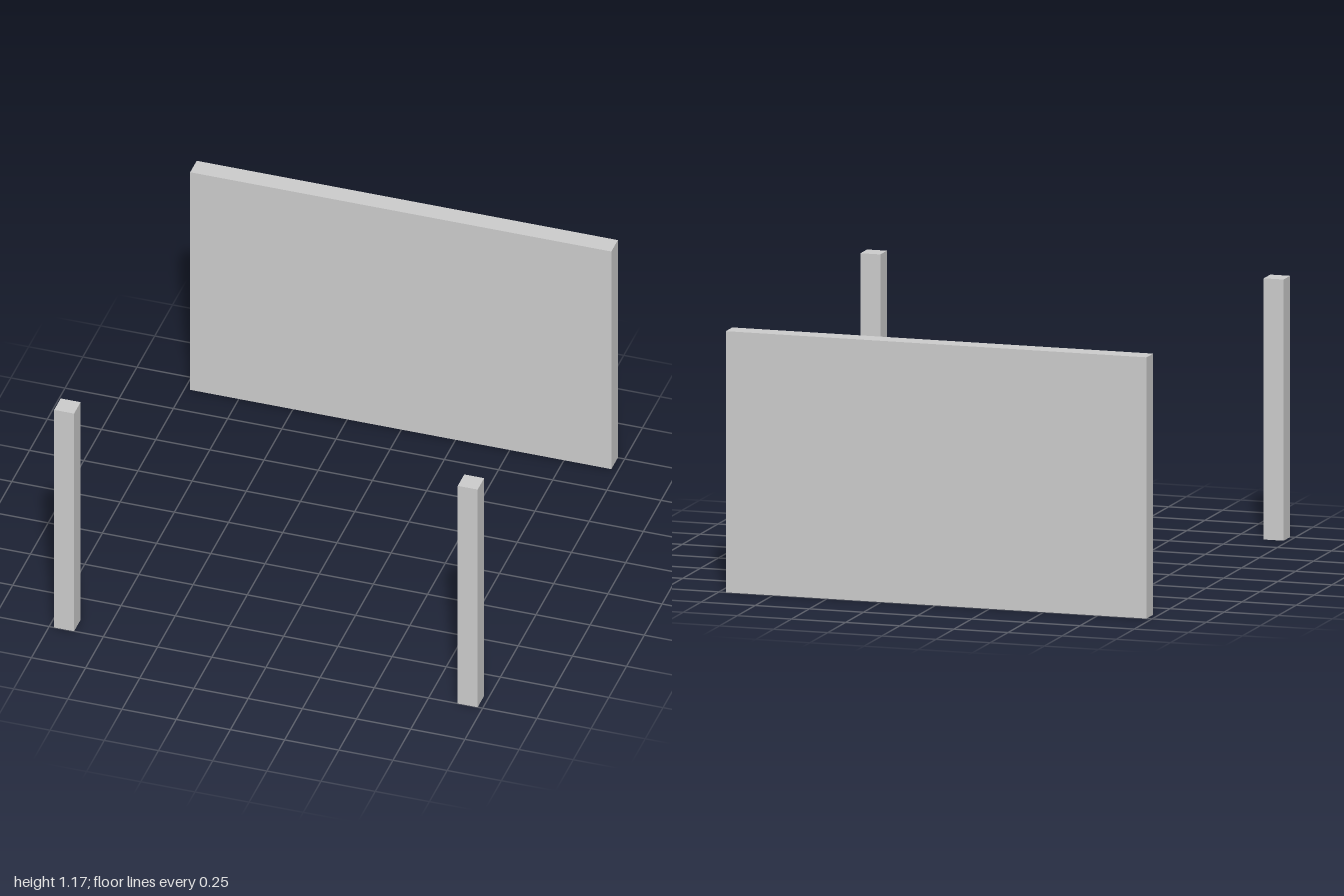
import * as THREE from 'three';

const HEIGHT = 1.166;
const THICK = 0.092;

export function createModel() {
  const group = new THREE.Group();
  const material = new THREE.MeshStandardMaterial({ color: 0xcccccc, flatShading: true });

  // Upright block standing on the ground
  const addBlock = (name, width, x, z) => {
    const mesh = new THREE.Mesh(new THREE.BoxGeometry(width, HEIGHT, THICK), material);
    mesh.name = name;
    mesh.position.set(x, HEIGHT / 2, z);
    group.add(mesh);
  };

  // Solid wall along the back
  addBlock('backWall', 1.943, -0.003, -1 + THICK / 2);

  // Square posts at the two front corners
  for (const [name, side] of [['leftFrontPost', 1], ['rightFrontPost', -1]]) {
    addBlock(name, THICK, side * (0.977 - THICK / 2), 1 - THICK / 2);
  }

  return group;
}
